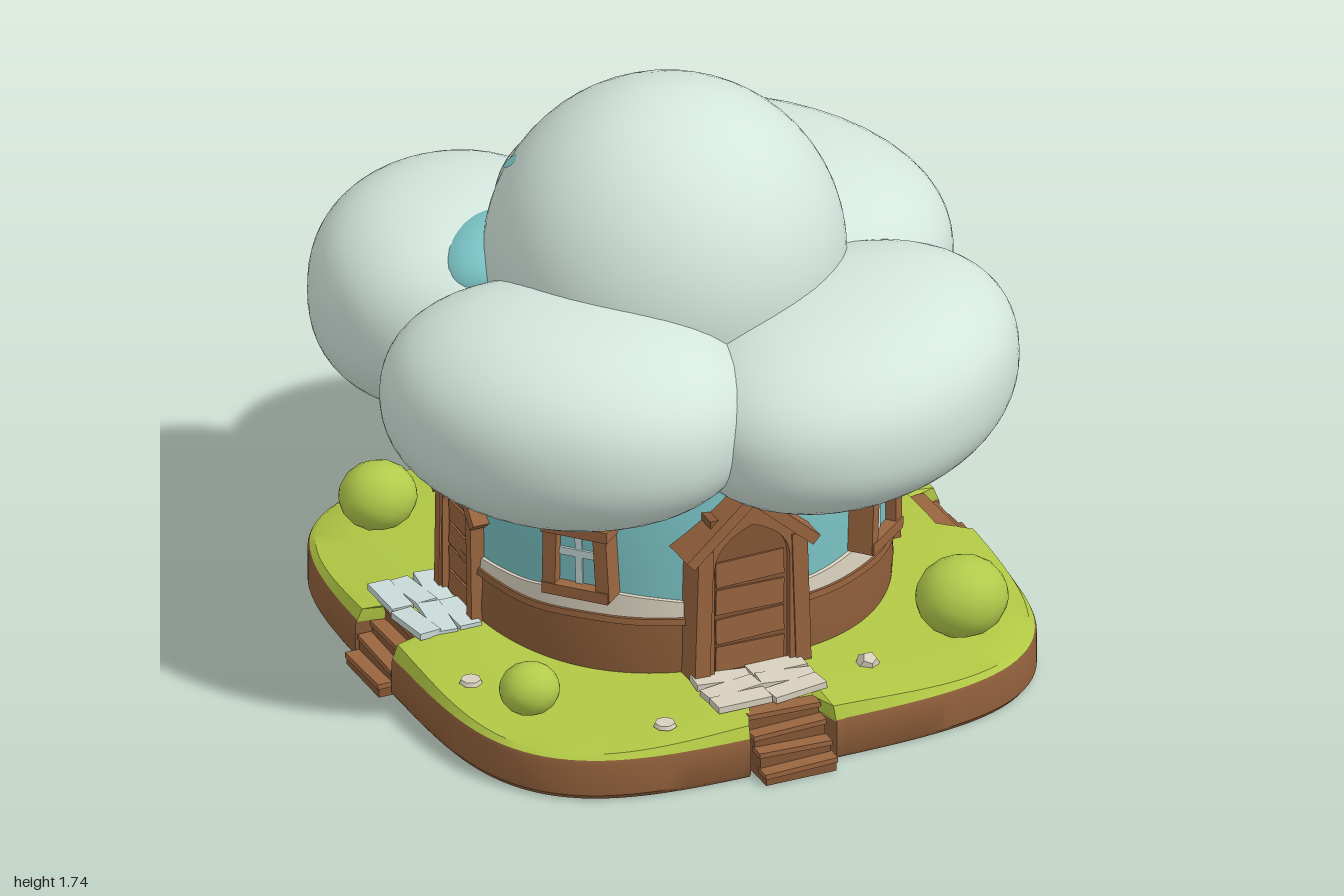
import * as THREE from 'three';
import { mergeVertices, toCreasedNormals } from 'three/addons/utils/BufferGeometryUtils.js';

const paint = (name, color) => Object.assign(new THREE.MeshStandardMaterial({ color }), { name });

export function createModel() {
  const model = new THREE.Group();
  model.name = 'cloudCottage';
  const cloud = paint('cloud', 0xd3e6dd), teal = paint('tealWall', 0x78c0c2);
  const earth = paint('earth', 0x8e5e3a), wood = paint('wood', 0x99653f), darkWood = paint('darkWood', 0x855736);
  const grass = paint('grass', 0xb1c744), leaf = paint('leaf', 0xb2cb4b);
  const cream = paint('creamStone', 0xd8d0bd), pale = paint('paleStone', 0xc8dad8);

  const add = (parent, name, geo, mat, x = 0, y = 0, z = 0, rz = 0) => {
    const m = new THREE.Mesh(geo, mat);
    m.name = name;
    m.position.set(x, y, z);
    m.rotation.z = rz;
    parent.add(m);
    return m;
  };
  const box = (parent, name, mat, w, h, d, x, y, z, rz = 0) =>
    add(parent, name, new THREE.BoxGeometry(w, h, d), mat, x, y, z, rz);

  // Entrance on each side: [name, turn, sideways offset, door width, door height, door distance, stair distance, path]
  const entrances = [
    ['front', 0, -0.05, 0.4, 0.6, 0.625, 0.855, cream],
    ['left', Math.PI / 2, 0.015, 0.28, 0.5, 0.63, 0.83, null],
    ['back', Math.PI, 0.01, 0.3, 0.52, 0.615, 0.84, cream],
    ['right', -Math.PI / 2, -0.06, 0.28, 0.5, 0.626, 0.81, pale],
  ];
  // Pulls outline points inwards where a staircase cuts into the ground
  const notch = (x, z) => {
    for (const [, turn, off, , , , dist] of entrances) {
      const s = Math.sin(turn), c = Math.cos(turn);
      const cut = x * s + z * c - (dist - 0.02);
      if (cut > 0 && Math.abs(x * c - z * s - off) < 0.115) return [x - s * cut, z - c * cut];
    }
    return [x, z];
  };

  // Closed surface through superellipse rings [rx, rz, y, wave], listed bottom to top
  const loft = (rings, p, waveFn, n = 192) => {
    const pos = [], idx = [];
    for (const [rx, rz, y, w = 0] of rings) {
      for (let j = 0; j < n; j++) {
        const a = (j / n) * Math.PI * 2, s = Math.sin(a), c = Math.cos(a);
        const k = (Math.abs(s) ** p + Math.abs(c) ** p) ** (-1 / p);
        const [x, z] = notch(rx * s * k, rz * c * k);
        pos.push(x, y + w * waveFn(a), z);
      }
    }
    for (let i = 0; i < rings.length - 1; i++) {
      for (let j = 0; j < n; j++) {
        const a = i * n + j, b = i * n + (j + 1) % n;
        idx.push(a, b, b + n, a, b + n, a + n);
      }
    }
    const g = new THREE.BufferGeometry();
    g.setAttribute('position', new THREE.Float32BufferAttribute(pos, 3));
    g.setIndex(idx);
    return toCreasedNormals(g, 0.6);
  };

  // Puffy rounded blob, elliptic from above; p shapes its side profile (2 = round, more = boxier)
  const blob = (rx, ry, rz, p, detail) => {
    let g = new THREE.IcosahedronGeometry(1, detail);
    g.deleteAttribute('uv');
    g.deleteAttribute('normal');
    g = mergeVertices(g, 1e-4);
    const a = g.attributes.position;
    for (let i = 0; i < a.count; i++) {
      const x = a.getX(i), y = a.getY(i), z = a.getZ(i);
      const k = (Math.hypot(x, z) ** p + Math.abs(y) ** p) ** (-1 / p);
      a.setXYZ(i, x * k * rx, y * k * ry, z * k * rz);
    }
    g.computeVertexNormals();
    return g;
  };

  // Ground slab and gently rolling lawn
  const side4 = a => Math.cos(4 * a);
  add(model, 'groundSlab', loft([[0, 0, 0.01], [0.91, 0.93, 0.01], [0.92, 0.94, 0.025],
    [0.92, 0.94, 0.125], [0.915, 0.935, 0.137]], 3.9, side4), earth);
  add(model, 'lawn', loft([[0.917, 0.937, 0.132], [0.9, 0.92, 0.162, 0.015], [0.8, 0.82, 0.178, 0.02],
    [0.62, 0.64, 0.19, 0.01], [0, 0, 0.19]], 3.9, side4), grass);

  // Round wall, foundation, ledge and worn plaster band that climbs between the doors
  const ripple = a => Math.sin(3 * a + 1) + 0.7 * Math.sin(7 * a) + 0.4 * Math.sin(13 * a);
  const climb = a => 0.3 * ripple(a) - Math.cos(4 * a);
  add(model, 'wall', loft([[0.63, 0.61, 0.3], [0.63, 0.605, 0.5], [0.63, 0.6, 0.72],
    [0.58, 0.57, 0.9], [0.45, 0.45, 1.02], [0, 0, 1.05]], 2, ripple), teal);
  add(model, 'plasterBand', loft([[0.645, 0.622, 0.36], [0.64, 0.617, 0.42, 0.024], [0.6, 0.59, 0.425, 0.024]], 2, climb), cream);
  add(model, 'foundation', loft([[0.635, 0.615, 0.15], [0.642, 0.62, 0.24], [0.635, 0.615, 0.345],
    [0.655, 0.635, 0.352, 0.004], [0.65, 0.63, 0.37, 0.004], [0.6, 0.59, 0.374]], 2, ripple), earth);

  // Gabled doorway facing +z, standing on its own y = 0
  const doorway = (name, w, h) => {
    const g = new THREE.Group();
    g.name = name;
    const hw = w * 0.43, eave = h * 0.72, iw = w * 0.3, arch = h * 0.6;
    const s = new THREE.Shape();
    s.moveTo(-hw, 0); s.lineTo(hw, 0); s.lineTo(hw, eave); s.lineTo(0, h * 0.95); s.lineTo(-hw, eave);
    s.closePath();
    const hole = new THREE.Path();
    hole.moveTo(-iw, 0.012);
    hole.lineTo(-iw, arch);
    hole.quadraticCurveTo(-iw, arch + iw * 0.75, 0, arch + iw * 1.1);
    hole.quadraticCurveTo(iw, arch + iw * 0.75, iw, arch);
    hole.lineTo(iw, 0.012);
    s.holes.push(hole);
    add(g, 'doorFrame', new THREE.ExtrudeGeometry(s, { depth: 0.13, bevelEnabled: false, curveSegments: 6 }), wood, 0, 0, -0.093);
    box(g, 'doorPanel', darkWood, iw * 2.05, h * 0.86, 0.08, 0, h * 0.43, -0.025);
    for (let i = 0; i < 4; i++)
      box(g, 'doorPlank', wood, iw * 1.8, h * 0.135, 0.012, 0, h * (0.1 + i * 0.155), 0.015, i % 2 ? 0.02 : -0.02);
    const rise = h * 0.3, run = w / 2, len = Math.hypot(rise, run);
    for (const d of [-1, 1]) {
      box(g, 'gableBeam', wood, len, 0.035, 0.16, d * run / 2, h - rise / 2 - 0.02, -0.032, -d * Math.atan2(rise, run));
      box(g, 'doorPost', wood, w * 0.12, eave, 0.15, d * hw * 0.9, eave / 2, -0.032, d * 0.03);
    }
    return g;
  };

  // Steps going down outwards (+z) inside the cut in the lawn edge
  const stairs = (name, w) => {
    const g = new THREE.Group();
    g.name = name;
    for (let i = 0; i < 4; i++) {
      const top = 0.172 - i * 0.043;
      box(g, 'step', darkWood, w * 0.97, top - 0.01, 0.05, 0, (top + 0.01) / 2, i * 0.04);
      box(g, 'tread', wood, w, 0.016, 0.052, 0, top, i * 0.04 + 0.003, i % 2 ? 0.03 : -0.03);
    }
    return g;
  };

  // Door, stairs and stone path on every side
  for (const [name, turn, off, w, h, r, sr, pathMat] of entrances) {
    const e = new THREE.Group();
    e.name = name + 'Entrance';
    e.rotation.y = turn;
    const door = doorway(name + 'Door', w, h);
    door.position.set(off, 0.185, r);
    const steps = stairs(name + 'Steps', 0.23);
    steps.position.set(off, 0, sr);
    e.add(door, steps);
    if (pathMat) {
      for (let i = 0; i < 6; i++) {
        const slab = box(e, 'pathSlab', pathMat, 0.17, 0.02, 0.068, off + (i % 2 ? 0.087 : -0.087) - 0.02,
          0.2, r + 0.055 + Math.floor(i / 2) * 0.068, (i % 3 - 1) * 0.04);
        slab.rotation.y = (i % 3 - 1) * 0.1;
      }
    }
    model.add(e);
  }

  // Framed windows on the diagonals
  for (const [i, x, z] of [[0, 0.42, 0.475], [1, -0.48, 0.415], [2, 0.42, -0.475], [3, -0.45, -0.445]]) {
    const g = new THREE.Group();
    g.name = 'window' + (i + 1);
    g.position.set(x, 0.55, z);
    g.rotation.set(0, Math.atan2(x, z), i % 2 ? 0.02 : -0.04);
    for (const d of [-1, 1]) {
      box(g, 'windowJamb', wood, 0.042, 0.23, 0.09, d * 0.082, 0, 0, d * 0.04);
      box(g, 'windowRail', wood, 0.21, 0.035, 0.1, 0, d * 0.1, 0);
    }
    box(g, 'windowPane', teal, 0.13, 0.18, 0.008, 0, 0, 0.008);
    box(g, 'windowBar', pale, 0.022, 0.18, 0.009, 0, 0, 0.014);
    box(g, 'windowBar', pale, 0.13, 0.024, 0.009, 0, 0.015, 0.015);
    model.add(g);
  }

  // Cloud roof, long sides wrapping around the house: [name, x, y, z, rx, ry, rz, p, turn, tilt]
  const puffs = [
    ['crownCloud', -0.01, 1.22, -0.03, 0.53, 0.53, 0.51, 2, 0, 0],
    ['crownBackFold', -0.01, 1.28, -0.18, 0.43, 0.22, 0.44, 2.7, 0, 0],
    ['frontLeftCloud', 0.345, 0.965, 0.45, 0.581, 0.29, 0.447, 2.4, 0.485, 0.06],
    ['frontRightCloud', -0.47, 0.99, 0.3, 0.555, 0.315, 0.45, 2.3, -0.785, 0],
    ['backLeftCloud', 0.355, 1.0, -0.395, 0.67, 0.33, 0.53, 2.5, -0.785, 0],
    ['backRightCloud', -0.465, 0.99, -0.51, 0.47, 0.32, 0.41, 2.4, 0.785, 0],
  ];
  for (const [name, x, y, z, rx, ry, rz, p, turn, tilt] of puffs)
    add(model, name, blob(rx, ry, rz, p, 9), cloud, x, y, z, tilt).rotation.y = turn;
  // Wall colour peeking out between the clouds
  add(model, 'wallPeek', blob(0.22, 0.12, 0.14, 2, 5), teal, -0.45, 1.18, -0.3).rotation.y = 0.69;
  add(model, 'tealFleck', new THREE.CircleGeometry(0.028, 10), teal, -0.41, 1.513, -0.223).lookAt(-0.812, 2.06, -0.44);

  // Round shrubs: [x, y, z, radius]
  for (const [x, y, z, r] of [[0.63, 0.27, 0.63, 0.13], [0.64, 0.28, -0.64, 0.122],
    [-0.72, 0.25, 0.58, 0.085], [-0.64, 0.26, -0.64, 0.11]])
    add(model, 'shrub', blob(r * 1.06, r * 0.93, r, 2, 2), leaf, x, y, z);

  // Loose stones on the lawn
  add(model, 'stone', new THREE.DodecahedronGeometry(0.035), cream, 0.28, 0.185, 0.74);
  for (const [x, z] of [[-0.4, 0.82], [0.3, -0.82], [-0.8, 0.35]])
    add(model, 'flatStone', new THREE.CylinderGeometry(0.03, 0.035, 0.012, 7), cream, x, 0.18, z);

  return model;
}
